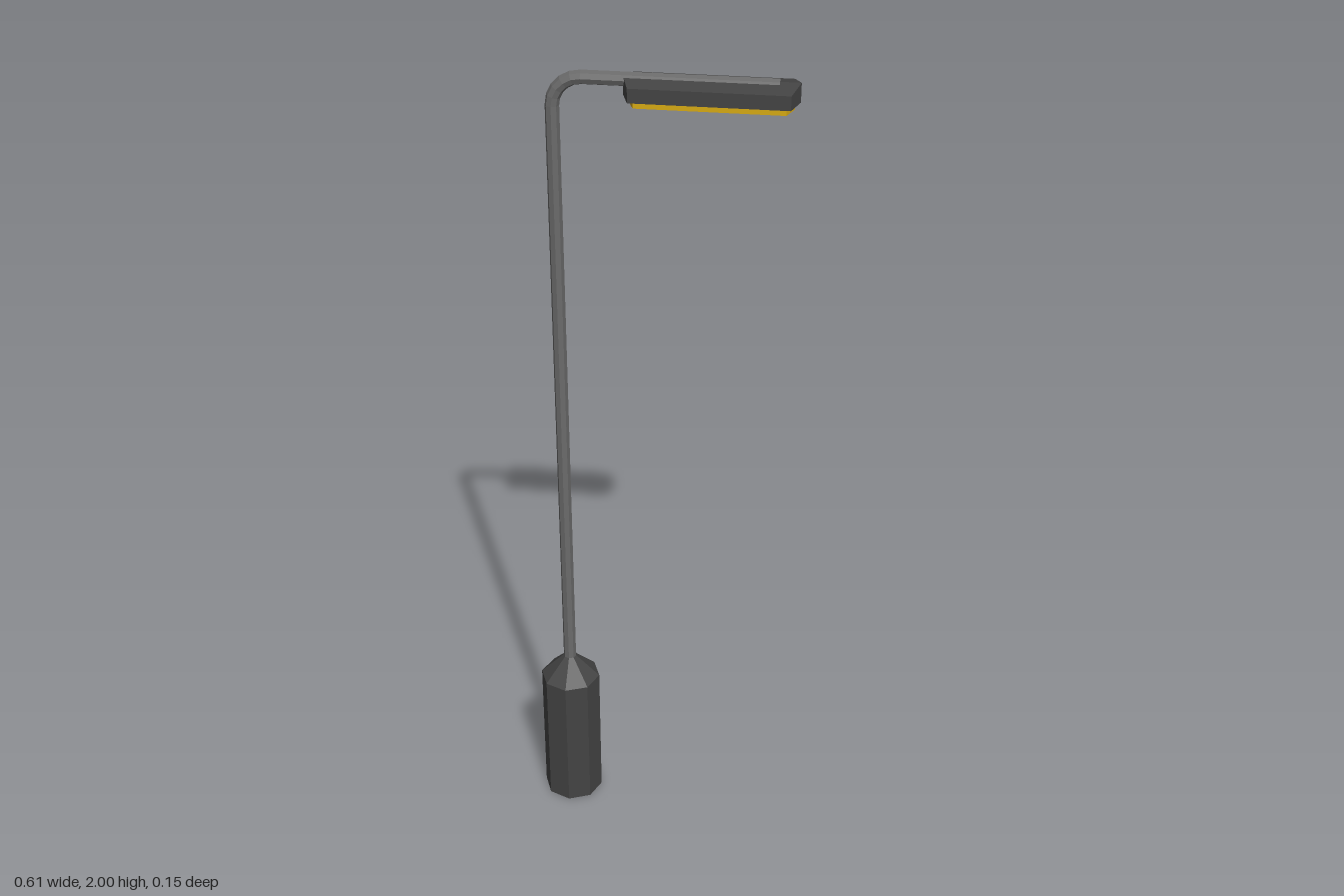
import * as THREE from 'three';

const POLE_X = -0.23;

export function createModel() {
  const model = new THREE.Group();
  const mat = (name, color) => new THREE.MeshStandardMaterial({ name, color, flatShading: true });
  const darkMetal = mat('dark metal', 0x444444);
  const poleMetal = mat('pole metal', 0x6a6a6a);
  const yellow = mat('yellow light', 0xd9ab12);

  const add = (parent, name, geometry, material, x = 0, y = 0) => {
    const mesh = new THREE.Mesh(geometry, material);
    mesh.name = name;
    mesh.position.set(x, y, 0);
    parent.add(mesh);
    return mesh;
  };

  // Octagonal base with a tapering cap
  add(model, 'base', new THREE.CylinderGeometry(0.076, 0.076, 0.37, 8), darkMetal, POLE_X, 0.185);
  add(model, 'baseCap', new THREE.CylinderGeometry(0.016, 0.076, 0.06, 8), darkMetal, POLE_X, 0.4);

  // Pole and arm: one octagonal cylinder whose rings follow a bent path
  const bend = 0.065, armY = 1.984, steps = 5;
  const rings = [[POLE_X, 0.4, 0]];
  for (let i = 0; i <= steps; i++) {
    const a = (i / steps) * Math.PI / 2;
    rings.push([POLE_X + bend * (1 - Math.cos(a)), armY - bend + bend * Math.sin(a), a]);
  }
  rings.push([0.26, armY, Math.PI / 2]);
  const last = rings.length - 1;
  const poleGeo = new THREE.CylinderGeometry(0.016, 0.016, 1, 8, last);
  const pos = poleGeo.attributes.position;
  for (let i = 0; i < pos.count; i++) {
    const [x, y, a] = rings[Math.round((pos.getY(i) + 0.5) * last)];
    const r = pos.getX(i);
    pos.setXY(i, x + r * Math.cos(a), y - r * Math.sin(a));
  }
  poleGeo.computeVertexNormals();
  add(model, 'poleAndArm', poleGeo, poleMetal);

  // Half of a slab with pointed ends; the outer top edge drops to form a roof
  const halfSlab = (tip, side, width, height, drop) => {
    const shape = new THREE.Shape([[-tip, 0], [tip, 0], [side, width], [-side, width]]
      .map(([x, y]) => new THREE.Vector2(x, y)));
    const geo = new THREE.ExtrudeGeometry(shape, { depth: height, bevelEnabled: false });
    geo.rotateX(-Math.PI / 2);
    const p = geo.attributes.position;
    for (let i = 0; i < p.count; i++) {
      if (p.getY(i) > height / 2 && p.getZ(i) < -width / 2) p.setY(i, height - drop);
    }
    geo.computeVertexNormals();
    return geo;
  };

  // Lamp head and light panel, each from two mirrored halves
  const head = new THREE.Group();
  head.name = 'lampHead';
  head.position.x = 0.115;
  model.add(head);
  const housing = halfSlab(0.19, 0.173, 0.055, 0.043, 0.011);
  const panel = halfSlab(0.178, 0.163, 0.041, 0.016, 0);
  for (const [side, turn] of [['Back', 0], ['Front', Math.PI]]) {
    add(head, 'housing' + side, housing, darkMetal, 0, 1.95).rotation.y = turn;
    add(head, 'lightPanel' + side, panel, yellow, 0, 1.934).rotation.y = turn;
  }
  return model;
}
